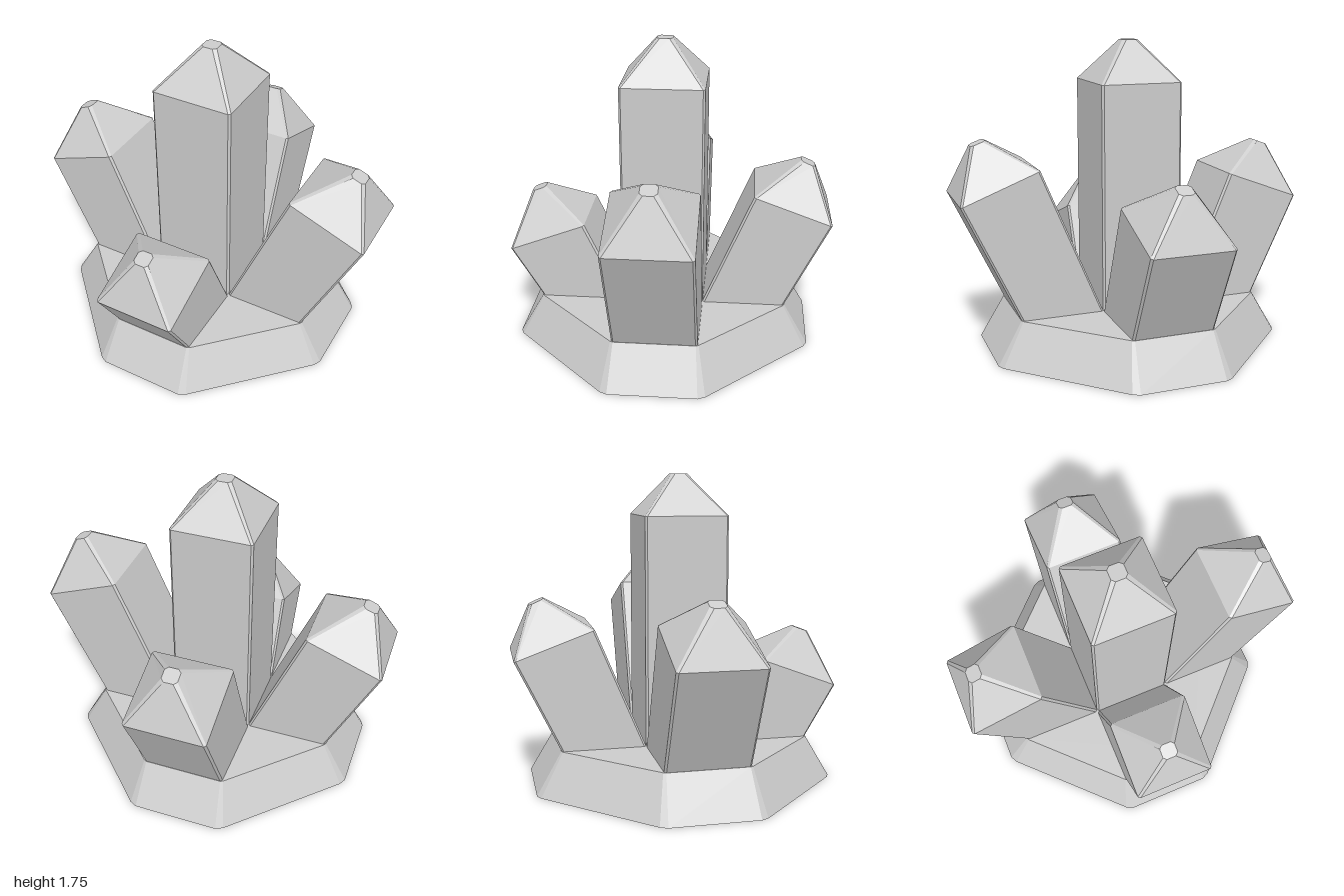
import * as THREE from 'three';

const stone = new THREE.MeshStandardMaterial({ color: 0xcccccc, flatShading: true });
stone.name = 'paleGreyStone';

// Skins a stack of horizontal-ish rings and closes both ends.
function loft(rings) {
  const pos = [];
  const tri = (a, b, c) => pos.push(...a, ...b, ...c);
  const n = rings[0].length;
  for (let r = 0; r < rings.length - 1; r++) {
    for (let i = 0; i < n; i++) {
      const j = (i + 1) % n;
      const [lo, hi] = [rings[r], rings[r + 1]];
      tri(lo[i], lo[j], hi[j]);
      tri(lo[i], hi[j], hi[i]);
    }
  }
  const top = rings[rings.length - 1];
  for (let i = 1; i < n - 1; i++) {
    tri(top[0], top[i], top[i + 1]);
    tri(rings[0][0], rings[0][i + 1], rings[0][i]);
  }
  const g = new THREE.BufferGeometry();
  g.setAttribute('position', new THREE.Float32BufferAttribute(pos, 3));
  g.computeVertexNormals();
  return g;
}

// Square section with cut corners, sloping from its inner to its outer edge.
function section([xIn, yIn], [xOut, yOut], half, cut) {
  const c = 1 - cut;
  return [[-c, 1], [c, 1], [1, c], [1, -c], [c, -1], [-c, -1], [-1, -c], [-1, c]].map(([p, q]) => {
    const t = (p + 1) / 2;
    return [xIn + (xOut - xIn) * t, yIn + (yOut - yIn) * t, q * half];
  });
}

// Crystal leaning along +x, then turned about the vertical axis.
function crystal(name, turn, foot, shoulder, tip) {
  const mesh = new THREE.Mesh(loft([
    section(...foot, 0.235, 0.05),
    section(...shoulder, 0.235, 0.05),
    section(...tip, 0.045, 0.4),
  ]), stone);
  mesh.name = name;
  mesh.rotation.y = turn;
  return mesh;
}

// Eight-sided outline with slightly nipped corners.
function baseRing(y, reach, flat, nip) {
  const ring = [];
  const quarter = [[flat - nip, reach], [flat, reach - nip / 2], [reach - nip / 2, flat], [reach, flat - nip]];
  for (let k = 0; k < 4; k++) {
    const c = Math.round(Math.cos(k * Math.PI / 2));
    const s = Math.round(Math.sin(k * Math.PI / 2));
    for (const [x, z] of quarter) ring.push([x * c + z * s, y, z * c - x * s]);
  }
  return ring;
}

export function createModel() {
  const group = new THREE.Group();
  group.name = 'crystalCluster';

  // Sloped rock base
  const base = new THREE.Mesh(loft([baseRing(0, 0.85, 0.285, 0.04), baseRing(0.24, 0.71, 0.24, 0.015)]), stone);
  base.name = 'base';
  group.add(base);

  // Tall upright crystal
  group.add(crystal('centreCrystal', 0,
    [[-0.235, 0.24], [0.235, 0.24]],
    [[-0.235, 1.52], [0.235, 1.52]],
    [[-0.045, 1.75], [0.045, 1.75]]));

  // Four leaning crystals: name, turn, shoulder and tip edges (inner, outer)
  const leaning = [
    ['leftCrystal', 0, [[0.585, 1.075], [1.02, 0.905]], [[0.84, 1.225], [0.92, 1.195]]],
    ['rightCrystal', Math.PI, [[0.545, 0.98], [0.98, 0.815]], [[0.805, 1.135], [0.885, 1.105]]],
    ['frontCrystal', -Math.PI / 2, [[0.45, 0.7], [0.885, 0.535]], [[0.705, 0.855], [0.785, 0.825]]],
    ['backCrystal', Math.PI / 2, [[0.515, 0.91], [0.955, 0.75]], [[0.775, 1.065], [0.855, 1.03]]],
  ];
  for (const [name, turn, shoulder, tip] of leaning) {
    group.add(crystal(name, turn, [[0.235, 0.24], [0.708, 0.24]], shoulder, tip));
  }

  // Shift so the overall bounds are centred
  for (const part of group.children) part.position.set(-0.02, 0, 0.035);
  return group;
}
